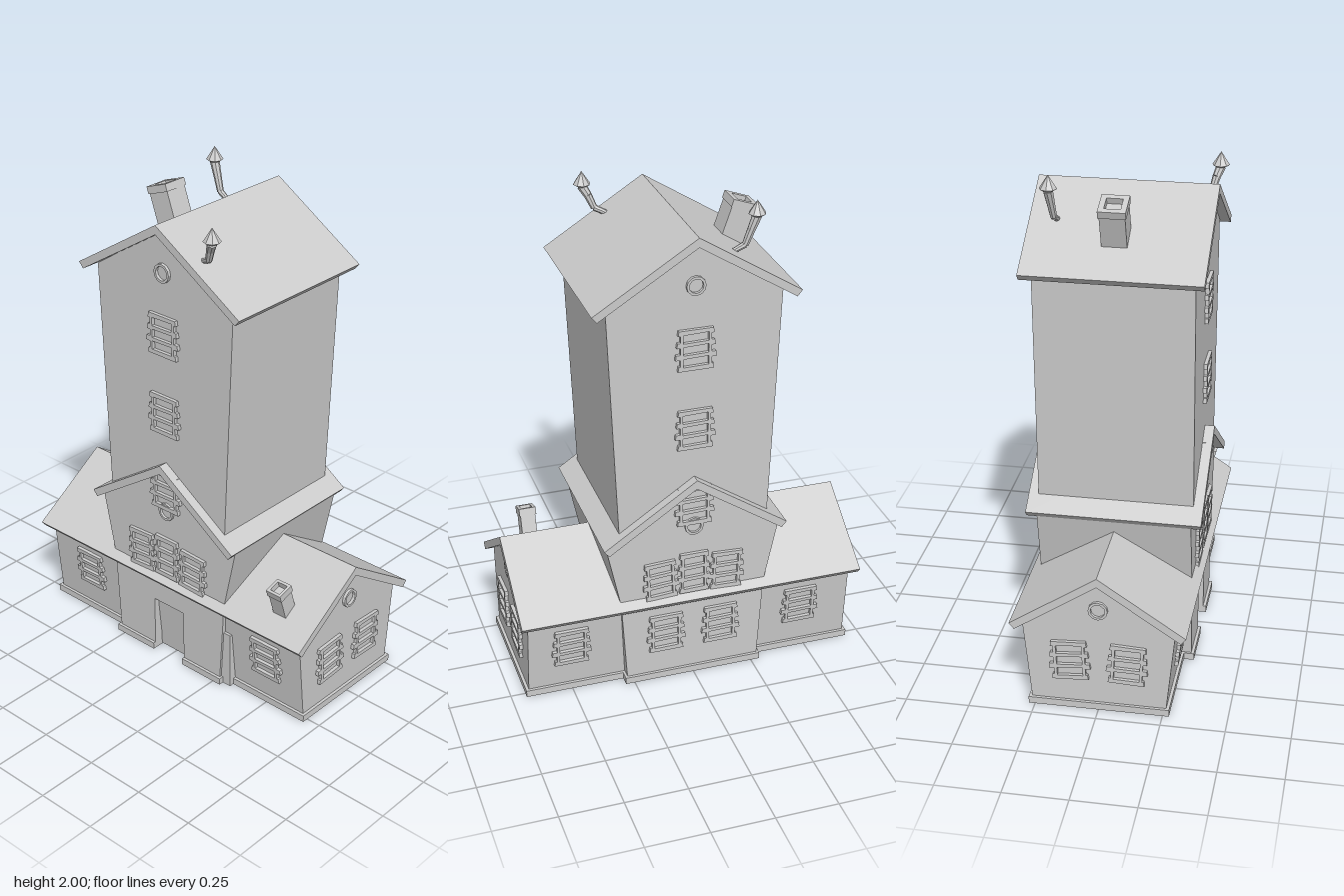
import * as THREE from 'three';

const mat = new THREE.MeshStandardMaterial({ color: 0xcccccc, flatShading: true, side: THREE.DoubleSide });

function add(parent, name, geometry, x = 0, y = 0, z = 0) {
  const m = new THREE.Mesh(geometry, mat);
  m.name = name;
  m.position.set(x, y, z);
  parent.add(m);
  return m;
}
const box = (parent, name, x0, x1, y0, y1, z0, z1) =>
  add(parent, name, new THREE.BoxGeometry(x1 - x0, y1 - y0, z1 - z0), (x0 + x1) / 2, (y0 + y1) / 2, (z0 + z1) / 2);
const shapeOf = pts => new THREE.Shape(pts.map(p => new THREE.Vector2(p[0], p[1])));
const mirrored = half => [...half, ...half.filter(p => p[0] > 0).reverse().map(p => [-p[0], p[1]])];
const extrude = (shape, depth) => new THREE.ExtrudeGeometry(shape, { depth, bevelEnabled: false, curveSegments: 6 });

// Hollow gabled walls with an open underside; half runs from the base on +x to the ridge
function shell(parent, name, half, halfDepth, doorway) {
  const g = new THREE.Group();
  g.name = name;
  parent.add(g);
  const pts = mirrored(half);
  const front = doorway ? [...pts, ...doorway] : pts;
  add(g, name + 'Front', new THREE.ShapeGeometry(shapeOf(front)), 0, 0, halfDepth);
  add(g, name + 'Back', new THREE.ShapeGeometry(shapeOf(pts)), 0, 0, -halfDepth).rotation.y = Math.PI;
  const pos = [];
  for (let i = 0; i < pts.length - 1; i++) {
    const [a, b] = [pts[i], pts[i + 1]], d = halfDepth;
    pos.push(...a, d, ...a, -d, ...b, -d, ...a, d, ...b, -d, ...b, d);
  }
  const sides = new THREE.BufferGeometry();
  sides.setAttribute('position', new THREE.Float32BufferAttribute(pos, 3));
  sides.computeVertexNormals();
  add(g, name + 'Sides', sides);
  return g;
}

// Two-pitch roof slab of even thickness
function roof(parent, name, w, eave, apex, halfDepth) {
  const s = shapeOf([[-w, eave], [-w + 0.02, eave - 0.024], [0, apex - 0.037], [w - 0.02, eave - 0.024], [w, eave], [0, apex]]);
  const geo = extrude(s, halfDepth * 2);
  geo.translate(0, 0, -halfDepth);
  return add(parent, name, geo);
}

// Window frame with three panes and crossbars jutting past the sides
function windowGeometry() {
  const side = [];
  for (let i = 0; i < 4; i++) {
    const y = -0.073 + i * 0.0487, out = 0.071 + 0.005 * ((i * 2) % 3);
    if (i > 0) side.push([0.061, y - 0.011]);
    side.push([out, y - 0.01], [out - 0.003, y + 0.01]);
    if (i < 3) side.push([0.061, y + 0.011]);
  }
  const s = shapeOf(mirrored(side));
  for (let i = 0; i < 3; i++) {
    const y = -0.0487 + i * 0.0487;
    s.holes.push(new THREE.Path([[-0.05, y - 0.018], [-0.05, y + 0.016], [0.05, y + 0.019], [0.05, y - 0.016]]
      .map(p => new THREE.Vector2(...p))));
  }
  return extrude(s, 0.014);
}

function ringGeometry() {
  const s = new THREE.Shape().absarc(0, 0, 0.038, 0, Math.PI * 2);
  s.holes.push(new THREE.Path().absarc(0, 0, 0.028, 0, Math.PI * 2, true));
  return extrude(s, 0.012);
}

// Square flue, origin at the centre of its top
function chimney(parent, name, size, height, hole) {
  const g = new THREE.Group();
  g.name = name;
  parent.add(g);
  const square = h => [[-h, -h], [h, -h], [h, h], [-h, h]];
  const rim = shapeOf(square(size / 2));
  rim.holes.push(new THREE.Path(square(hole / 2).reverse().map(p => new THREE.Vector2(...p))));
  const rimGeo = extrude(rim, 0.03);
  rimGeo.rotateX(Math.PI / 2);
  add(g, name + 'Rim', rimGeo);
  const b = size / 2 - 0.004;
  box(g, name + 'Shaft', -b, b, -height, -0.025, -b, b);
  return g;
}

// Bent stovepipe with a pointed cowl
function stovepipe(parent, name, points) {
  const g = new THREE.Group();
  g.name = name;
  parent.add(g);
  const p = points.map(q => new THREE.Vector3(...q));
  for (let i = 0; i < p.length - 1; i++) {
    const dir = p[i + 1].clone().sub(p[i]);
    const r = 0.01 + i * 0.003;
    const m = add(g, name + 'Segment', new THREE.CylinderGeometry(r + 0.003, r, dir.length(), 8));
    m.position.copy(p[i]).addScaledVector(dir, 0.5);
    m.quaternion.setFromUnitVectors(new THREE.Vector3(0, 1, 0), dir.normalize());
  }
  const t = p[p.length - 1];
  add(g, name + 'Cowl', new THREE.ConeGeometry(0.034, 0.052, 8), t.x, t.y + 0.034, t.z);
  add(g, name + 'CowlBase', new THREE.CylinderGeometry(0.034, 0.015, 0.012, 8), t.x, t.y + 0.002, t.z);
}

export function createModel() {
  const house = new THREE.Group();
  house.name = 'house';

  // Walls
  const doorway = [[-0.08, 0], [-0.08, 0.245], [0.08, 0.245], [0.08, 0]];
  shell(house, 'wings', [[0.26, 0], [0.295, 0.36], [0, 0.57]], 0.678).rotation.y = Math.PI / 2;
  shell(house, 'lowerTower', [[0.276, 0], [0.298, 0.36], [0.302, 0.39], [0.357, 0.65], [0, 0.89]], 0.304, doorway);
  shell(house, 'tower', [[0.302, 0.66], [0.343, 1.66], [0, 1.885]], 0.306);

  // Roofs
  roof(house, 'wingRoof', 0.34, 0.368, 0.595, 0.71).rotation.y = Math.PI / 2;
  roof(house, 'lowerTowerRoof', 0.375, 0.665, 0.917, 0.345);
  roof(house, 'towerRoof', 0.405, 1.66, 1.915, 0.345);

  // Door recess and the narrow post beside the entrance
  box(house, 'doorLintel', -0.085, 0.085, 0.245, 0.25, 0.27, 0.304);
  for (const s of [-1, 1]) box(house, 'doorJamb', s * 0.0825 - 0.0025, s * 0.0825 + 0.0025, 0, 0.245, 0.265, 0.304);
  box(house, 'entrancePost', 0.28, 0.325, 0, 0.245, 0.25, 0.295);

  // Plinth strips round the footings
  for (const s of [-1, 1]) {
    const strip = (x0, x1, z0, z1) =>
      box(house, 'plinth', Math.min(s * x0, s * x1), Math.max(s * x0, s * x1), 0, 0.028, z0, z1);
    strip(0.675, 0.69, -0.275, 0.275);
    strip(0.27, 0.69, 0.26, 0.275);
    strip(0.27, 0.69, -0.275, -0.26);
    strip(0.272, 0.287, 0.262, 0.316);
    strip(0.272, 0.287, -0.316, -0.262);
    strip(0.08, 0.287, 0.302, 0.316);
    strip(0, 0.287, -0.316, -0.302);
  }

  // Windows, placed on one facade and repeated round the house
  const win = windowGeometry(), ring = ringGeometry();
  for (const back of [false, true]) {
    const f = new THREE.Group();
    f.name = back ? 'backFacade' : 'frontFacade';
    f.rotation.y = back ? Math.PI : 0;
    house.add(f);
    for (const y of [0.79, 1.127, 1.462]) add(f, 'towerWindow', win, 0, y, 0.306);
    add(f, 'towerRoundWindow', ring, 0, 1.717, 0.306);
    add(f, 'lowerRoundWindow', ring, 0, 0.695, 0.304);
    add(f, 'middleWindow', win, 0, 0.482, 0.305).scale.set(0.85, 1.08, 1);
    for (const s of [-1, 1]) {
      const m = add(f, 'middleSideWindow', win, s * 0.137, 0.468, 0.304);
      m.scale.x = 0.92;
      m.rotation.z = -s * 0.05;
      const w = add(f, 'wingWindow', win, s * 0.485 + (back ? -0.017 : 0.017), 0.215, 0.281);
      w.rotation.x = 0.097;
      if (back) add(f, 'entranceBackWindow', win, s * 0.115, 0.215, 0.304);
    }
  }
  for (const s of [-1, 1]) {
    const f = new THREE.Group();
    f.name = s > 0 ? 'leftGable' : 'rightGable';
    f.rotation.y = s * Math.PI / 2;
    house.add(f);
    for (const t of [-1, 1]) add(f, 'gableWindow', win, t * 0.112, 0.212, 0.678).rotation.z = -t * 0.05;
    add(f, 'gableRoundWindow', ring, 0, 0.442, 0.678);
  }

  // Leaning chimneys
  const big = chimney(house, 'towerChimney', 0.105, 0.22, 0.062);
  big.position.set(-0.283, 1.912, -0.007);
  big.rotation.z = 0.34;
  const small = chimney(house, 'wingChimney', 0.07, 0.17, 0.046);
  small.position.set(0.542, 0.555, 0.262);
  small.rotation.x = 0.3;

  // Stovepipes
  stovepipe(house, 'frontStovepipe', [[0.165, 1.8, 0.272], [0.212, 1.822, 0.29], [0.232, 1.87, 0.303], [0.252, 1.905, 0.317]]);
  stovepipe(house, 'backStovepipe', [[-0.165, 1.8, -0.238], [-0.212, 1.825, -0.244], [-0.233, 1.885, -0.25], [-0.252, 1.938, -0.255]]);

  return house;
}
